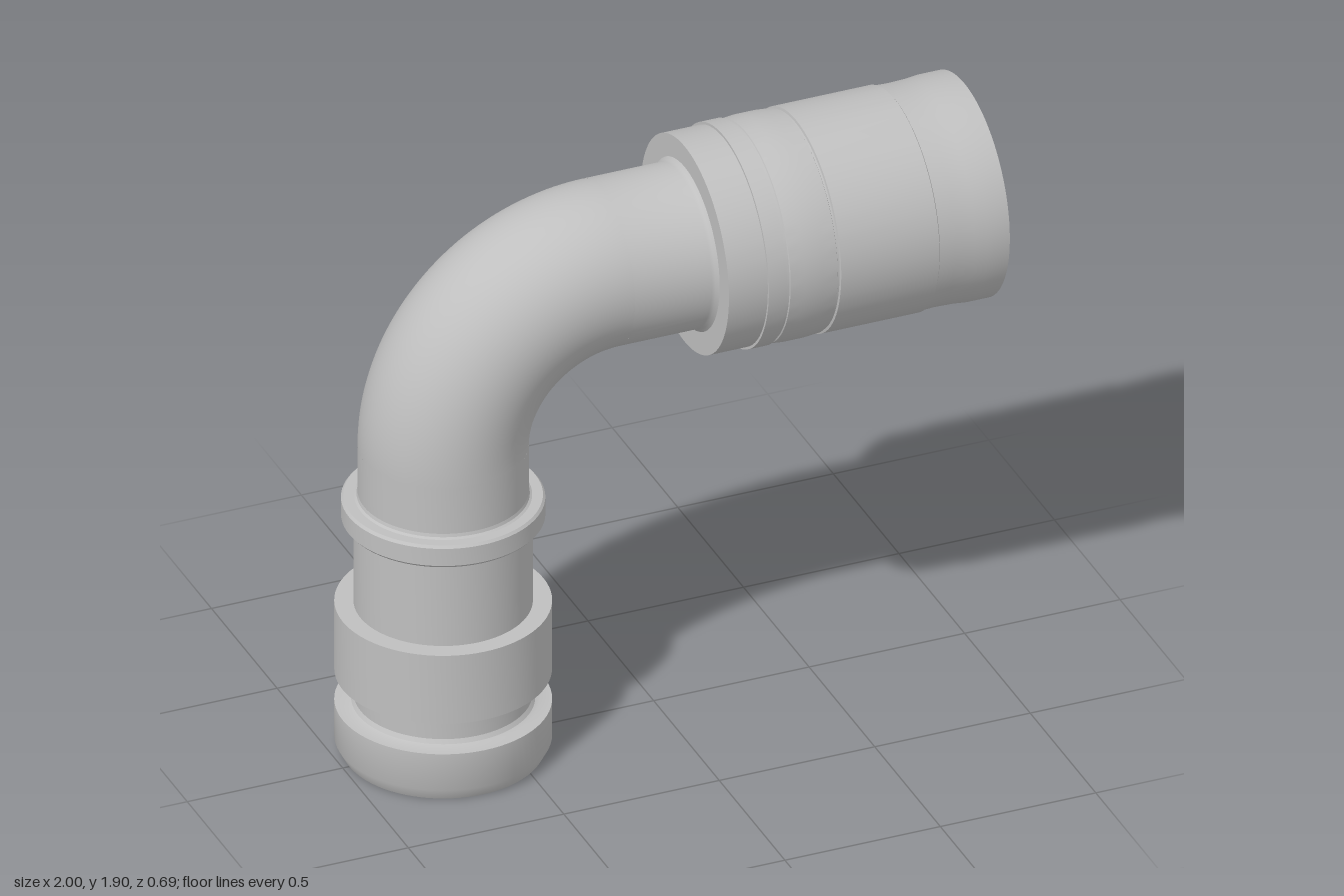
import * as THREE from 'three';
import { toCreasedNormals } from 'three/addons/utils/BufferGeometryUtils.js';

const AXIS_X = -0.677; // axis of the vertical leg
const AXIS_Y = 1.553; // axis of the horizontal leg
const BEND = 0.51; // centre-line radius of the elbow
const PIPE = 0.254;
const BORE = 0.235;

export function createModel() {
  const model = new THREE.Group();
  const grey = new THREE.MeshStandardMaterial({ color: 0xbfbfbf, side: THREE.DoubleSide });
  grey.name = 'greyMetal';

  function add(name, geometry) {
    const mesh = new THREE.Mesh(geometry, grey);
    mesh.name = name;
    model.add(mesh);
    return mesh;
  }

  // Profiles are [radius, distance along the axis]
  function turned(name, profile) {
    const points = profile.map(([r, d]) => new THREE.Vector2(r, d));
    return add(name, toCreasedNormals(new THREE.LatheGeometry(points, 80), 0.5));
  }
  function vertical(name, profile) {
    turned(name, profile).position.x = AXIS_X;
  }
  function horizontal(name, profile) {
    const mesh = turned(name, profile);
    mesh.rotation.z = -Math.PI / 2;
    mesh.position.y = AXIS_Y;
  }

  // Plug end: chamfered nose, seal groove, shoulder
  vertical('plugEnd', [
    [0.245, 0], [0.302, 0], [0.323, 0.04], [0.323, 0.165], [0.285, 0.165],
    [0.273, 0.17], [0.265, 0.183], [0.265, 0.252], [0.273, 0.265], [0.285, 0.27],
    [0.323, 0.27], [0.323, 0.505], [0.266, 0.505], [0.266, 0.795],
  ]);

  // Raised collar with softened edges, then the straight pipe
  vertical('collar', [
    [0.266, 0.795], [0.296, 0.795], [0.303, 0.803], [0.303, 0.862],
    [0.296, 0.87], [0.264, 0.87], [0.257, 0.875], [PIPE, 0.885],
  ]);
  vertical('lowerPipe', [[PIPE, 0.87], [PIPE, AXIS_Y - BEND]]);
  vertical('lowerBore', [[BORE, AXIS_Y - BEND], [BORE, 0.6], [0.245, 0.4], [0.245, 0]]);

  // Quarter-turn elbow, outside and inside
  for (const [name, radius] of [['elbow', PIPE], ['elbowBore', BORE]]) {
    const bend = add(name, new THREE.TorusGeometry(BEND, radius, 64, 48, Math.PI / 2));
    bend.rotation.z = Math.PI / 2;
    bend.position.set(AXIS_X + BEND, AXIS_Y - BEND, 0);
  }

  horizontal('upperPipe', [
    [PIPE, AXIS_X + BEND], [PIPE, 0.08], [0.257, 0.09], [0.266, 0.1],
  ]);

  // Socket sleeve with band, hairline grooves and a slightly waisted rim
  horizontal('socketSleeve', [
    [PIPE, 0.1], [0.337, 0.1], [0.337, 0.225], [0.345, 0.225], [0.345, 0.284],
    [0.337, 0.286], [0.337, 0.295], [0.341, 0.297], [0.345, 0.34], [0.345, 0.4],
    [0.341, 0.448], [0.337, 0.45], [0.337, 0.456], [0.345, 0.458], [0.345, 0.774],
    [0.341, 0.777], [0.339, 0.83], [0.341, 0.89], [0.345, 0.93], [0.345, 1],
    [0.328, 1], [0.305, 0.75], [0.235, 0.75],
  ]);

  // Inner spigot with a rounded lip
  const lip = [];
  for (let i = 0; i <= 10; i++) {
    const a = (i / 10) * Math.PI;
    lip.push([0.2135 + 0.0215 * Math.cos(a), 0.97 + 0.0215 * Math.sin(a)]);
  }
  horizontal('innerSpigot', [
    [0.235, 0.75], ...lip, [0.192, 0.6], [BORE, 0.4], [BORE, AXIS_X + BEND],
  ]);

  return model;
}
